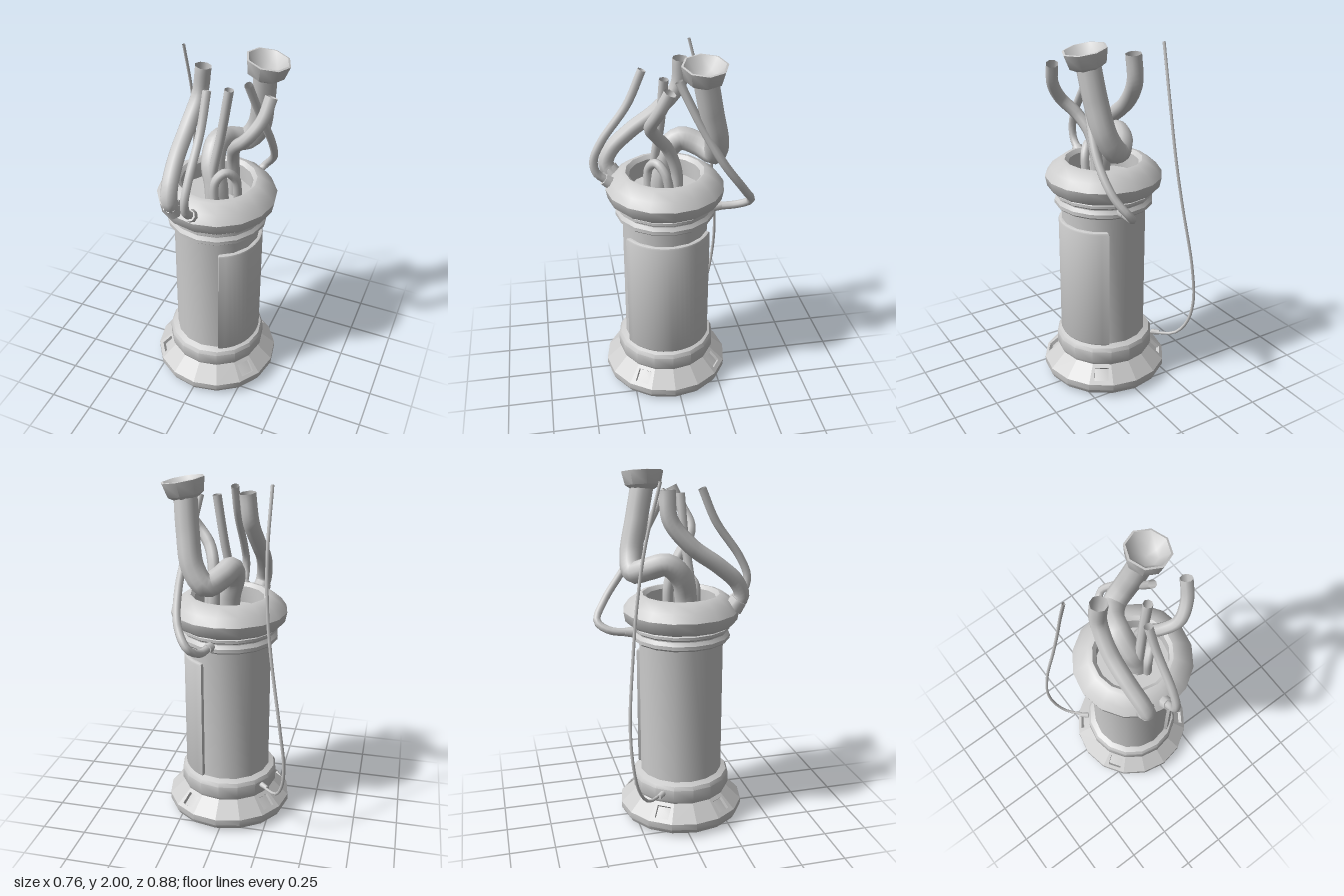
import * as THREE from 'three';
import { toCreasedNormals } from 'three/addons/utils/BufferGeometryUtils.js';

const SIDES = 16;
const grey = new THREE.MeshStandardMaterial({ color: 0xcccccc });
const greyOpen = new THREE.MeshStandardMaterial({ color: 0xcccccc, side: THREE.DoubleSide });

function addMesh(parent, name, geometry, material = grey) {
  const mesh = new THREE.Mesh(geometry, material);
  mesh.name = name;
  parent.add(mesh);
  return mesh;
}

// Profile of [radius, height] pairs turned around the y axis
function turned(profile, sides = SIDES, crease = 0.6) {
  const points = profile.map(([r, y]) => new THREE.Vector2(r, y));
  return toCreasedNormals(new THREE.LatheGeometry(points, sides), crease);
}

// Open-ended hose through a few points
function addHose(parent, name, radius, path, sides = 8) {
  const curve = new THREE.CatmullRomCurve3(path.map(p => new THREE.Vector3(...p)));
  return addMesh(parent, name, new THREE.TubeGeometry(curve, path.length * 5, radius, sides), greyOpen);
}

// Short socket where a hose plugs in, aimed along a direction
function addSocket(parent, name, radius, length, position, direction) {
  const mesh = addMesh(parent, name, new THREE.CylinderGeometry(radius * 0.85, radius, length, 8));
  mesh.position.set(...position);
  mesh.quaternion.setFromUnitVectors(new THREE.Vector3(0, 1, 0), new THREE.Vector3(...direction).normalize());
}

// Sloped skirt of the foot: sixteen flat plates, four with a square window
function addSkirt(parent) {
  const r0 = 0.36, r1 = 0.27, y0 = 0.08, y1 = 0.165, depth = 0.02;
  const c = Math.cos(Math.PI / SIDES), s = Math.sin(Math.PI / SIDES);
  const run = (r0 - r1) * c, length = Math.hypot(run, y1 - y0);
  const windows = [2, 6, 10, 13];
  for (let i = 0; i < SIDES; i++) {
    const plate = new THREE.Shape([
      new THREE.Vector2(-r0 * s, 0), new THREE.Vector2(r0 * s, 0),
      new THREE.Vector2(r1 * s, length), new THREE.Vector2(-r1 * s, length)]);
    const hasWindow = windows.includes(i);
    if (hasWindow) {
      const a = length * 0.2, b = length * 0.8, w = 0.04;
      plate.holes.push(new THREE.Path([
        new THREE.Vector2(-w, a), new THREE.Vector2(-w, b),
        new THREE.Vector2(w, b), new THREE.Vector2(w, a)]));
    }
    const geometry = new THREE.ExtrudeGeometry(plate, { depth, bevelEnabled: false });
    geometry.translate(0, 0, -depth);
    geometry.rotateX(-Math.atan2(run, y1 - y0));
    geometry.translate(0, y0, r0 * c);
    geometry.rotateY((i + 0.5) * 2 * Math.PI / SIDES);
    addMesh(parent, hasWindow ? 'skirtWindowPlate' : 'skirtPlate', geometry);
  }
}

// Curved service panel wrapped around the +x side
function addPanel(parent) {
  const half = 1.1, bevel = 0.012;
  const shape = new THREE.Shape();
  shape.absarc(0, 0, 0.244, -half, half, false);
  shape.absarc(0, 0, 0.2, half, -half, true);
  const geometry = new THREE.ExtrudeGeometry(shape, {
    depth: 0.71 - 2 * bevel, curveSegments: 10,
    bevelSize: bevel, bevelThickness: bevel, bevelSegments: 2 });
  geometry.rotateX(-Math.PI / 2);
  geometry.translate(0, 0.28 + bevel, 0);
  addMesh(parent, 'sidePanel', toCreasedNormals(geometry, 0.5));
}

export function createModel() {
  const model = new THREE.Group();
  model.name = 'hoseCanister';

  // Canister parts share one axis, slightly off centre
  const canister = new THREE.Group();
  canister.name = 'canister';
  canister.position.set(0.015, 0, 0.035);
  model.add(canister);

  addMesh(canister, 'foot', turned([
    [0, 0], [0.315, 0.005], [0.345, 0.018], [0.36, 0.045], [0.36, 0.08],
    [0.325, 0.07], [0.25, 0.14], [0.27, 0.165]]));
  addSkirt(canister);
  addMesh(canister, 'lowerRing', turned([
    [0.24, 0.16], [0.272, 0.165], [0.282, 0.185], [0.282, 0.25], [0.27, 0.27], [0.235, 0.285]]));
  addMesh(canister, 'body', turned([[0.238, 0.25], [0.238, 1.1]]));
  addPanel(canister);
  addMesh(canister, 'neckRings', turned([
    [0.235, 1.07], [0.262, 1.073], [0.276, 1.085], [0.276, 1.105], [0.262, 1.125],
    [0.262, 1.13], [0.274, 1.14], [0.274, 1.155], [0.25, 1.17]]));

  // Collar with an open well where the hoses rise
  addMesh(canister, 'collar', turned([
    [0.25, 1.16], [0.29, 1.168], [0.315, 1.19], [0.326, 1.245], [0.295, 1.29],
    [0.24, 1.33], [0.215, 1.335], [0.195, 1.315], [0.195, 1.22], [0, 1.22]], SIDES, 0.75));

  // Thick hose ending in the funnel
  addHose(model, 'funnelHose', 0.064, [
    [0.205, 1.91, -0.135], [0.185, 1.72, -0.175], [0.15, 1.54, -0.215], [0.085, 1.45, -0.215],
    [0.02, 1.475, -0.15], [-0.015, 1.5, -0.05], [-0.01, 1.42, 0.035], [0.02, 1.31, 0.065],
    [0.03, 1.2, 0.07]], 10);
  const funnel = addMesh(model, 'funnel', turned([
    [0.06, -0.1], [0.1, -0.075], [0.118, 0], [0.107, 0.002], [0.06, -0.05], [0, -0.06]], 8, 0.9), greyOpen);
  funnel.position.set(0.22, 1.977, -0.13);
  funnel.rotation.z = -0.18;

  // Hoses bending over the front of the collar
  addHose(model, 'frontHose', 0.045, [
    [-0.105, 1.91, -0.07], [-0.122, 1.76, -0.06], [-0.142, 1.62, 0.05], [-0.142, 1.51, 0.2],
    [-0.13, 1.41, 0.31], [-0.12, 1.33, 0.34], [-0.1, 1.26, 0.29]]);
  addSocket(model, 'frontHoseSocket', 0.056, 0.06, [-0.112, 1.285, 0.315], [-0.2, 0.8, 0.5]);
  addHose(model, 'thinFrontHose', 0.023, [
    [0.01, 1.9, 0.15], [0.01, 1.72, 0.23], [0.005, 1.52, 0.37], [0, 1.41, 0.415],
    [0, 1.335, 0.4], [0, 1.27, 0.32]]);
  addSocket(model, 'thinFrontHoseSocket', 0.038, 0.06, [0, 1.28, 0.34], [0, 0.6, 0.8]);

  // Hoses rising out of the well
  addHose(model, 'bentHose', 0.033, [
    [0.305, 1.88, 0.055], [0.28, 1.77, 0.105], [0.215, 1.67, 0.14], [0.145, 1.59, 0.1],
    [0.105, 1.5, 0.035], [0.09, 1.36, -0.015], [0.09, 1.2, -0.02]]);
  addHose(model, 'straightHose', 0.025, [
    [0.085, 1.87, 0.05], [0.05, 1.62, 0.065], [0.015, 1.4, 0.09], [0.0, 1.2, 0.1]]);
  addHose(model, 'smallArchHose', 0.025, [
    [0.13, 1.22, 0.02], [0.125, 1.36, 0.05], [0.085, 1.41, 0.09], [0.045, 1.37, 0.125], [0.04, 1.22, 0.13]]);

  // Hose looping out behind to the neck rings
  addHose(model, 'rearHose', 0.022, [
    [0.16, 1.88, -0.015], [0.195, 1.65, -0.125], [0.22, 1.44, -0.245], [0.195, 1.27, -0.365],
    [0.13, 1.17, -0.42], [0.085, 1.125, -0.36], [0.06, 1.11, -0.22]]);
  addSocket(model, 'rearHoseSocket', 0.03, 0.05, [0.063, 1.113, -0.25], [0.1, 0.1, -1]);

  // Whip antenna wire from the lower ring
  addHose(model, 'antennaWire', 0.009, [
    [-0.245, 1.97, -0.14], [-0.24, 1.65, -0.22], [-0.255, 1.35, -0.27], [-0.285, 1.1, -0.3],
    [-0.345, 0.72, -0.335], [-0.372, 0.48, -0.325], [-0.355, 0.33, -0.29], [-0.31, 0.245, -0.23],
    [-0.2, 0.23, -0.12]], 6);
  addSocket(model, 'antennaSocket', 0.017, 0.05, [-0.235, 0.23, -0.145], [-0.7, 0, -0.6]);

  return model;
}
